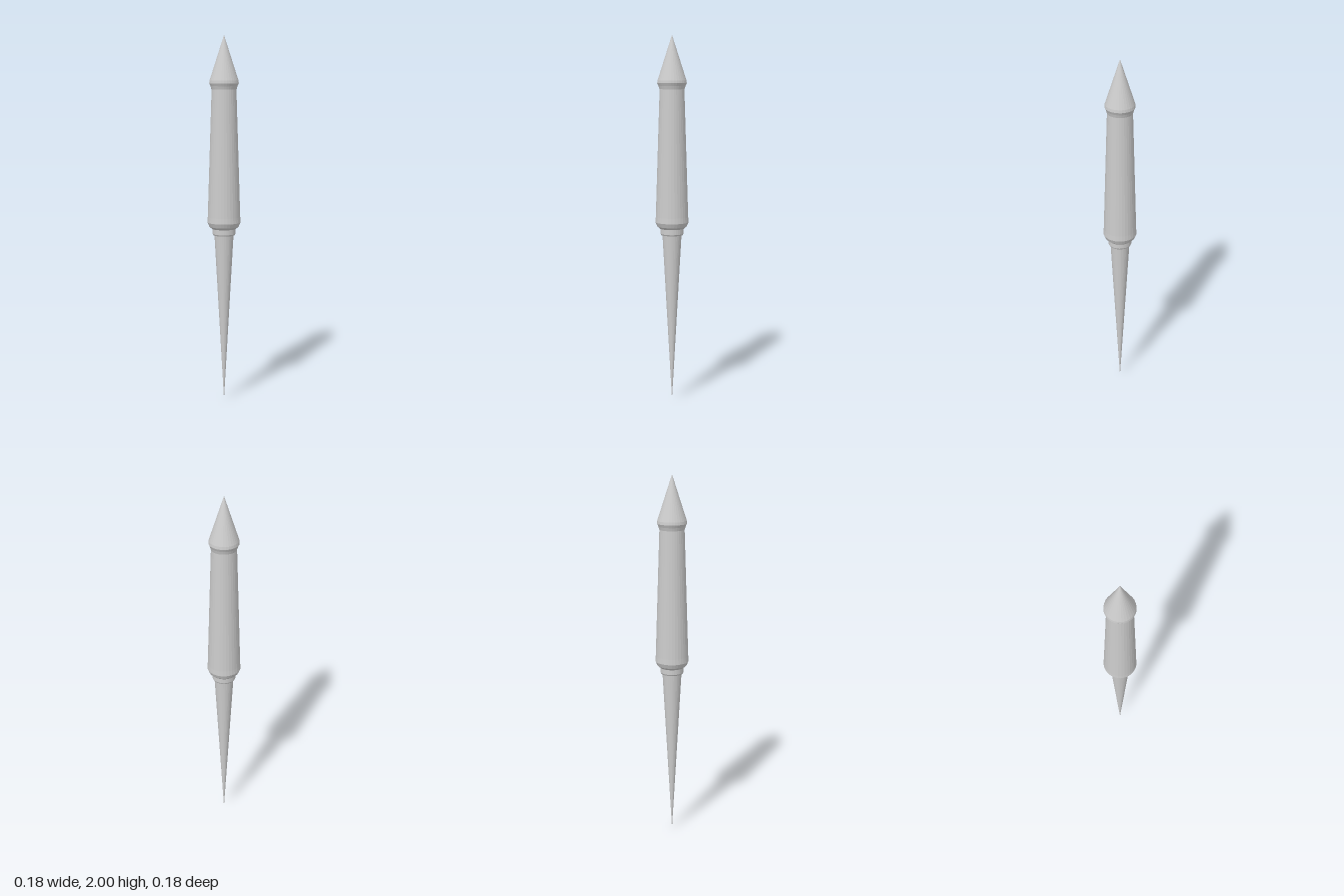
import * as THREE from 'three';

const SIDES = 32;
const material = new THREE.MeshStandardMaterial({ color: 0xcccccc, flatShading: true });

// Turned part from [radius, height] pairs, listed bottom to top
function turned(name, profile) {
  const points = profile.map(([r, y]) => new THREE.Vector2(r, y));
  const mesh = new THREE.Mesh(new THREE.LatheGeometry(points, SIDES), material);
  mesh.name = name;
  return mesh;
}

export function createModel() {
  const group = new THREE.Group();
  group.name = 'spike';
  group.add(
    // Long needle pointing down
    turned('blade', [[0, 0], [0.052, 0.93], [0, 0.93]]),
    // Narrow ring between blade and handle
    turned('collar', [[0, 0.93], [0.059, 0.93], [0.063, 0.937], [0.063, 0.968], [0, 0.968]]),
    // Tapered grip with a bevelled lower end
    turned('handle', [[0, 0.965], [0.066, 0.965], [0.08, 0.977], [0.09, 1.0], [0.088, 1.03], [0.066, 1.72], [0, 1.72]]),
    // Pointed cap with a flared rim
    turned('cap', [[0, 1.715], [0.067, 1.715], [0.072, 1.732], [0.079, 1.747], [0.077, 1.762], [0, 2]])
  );
  return group;
}
